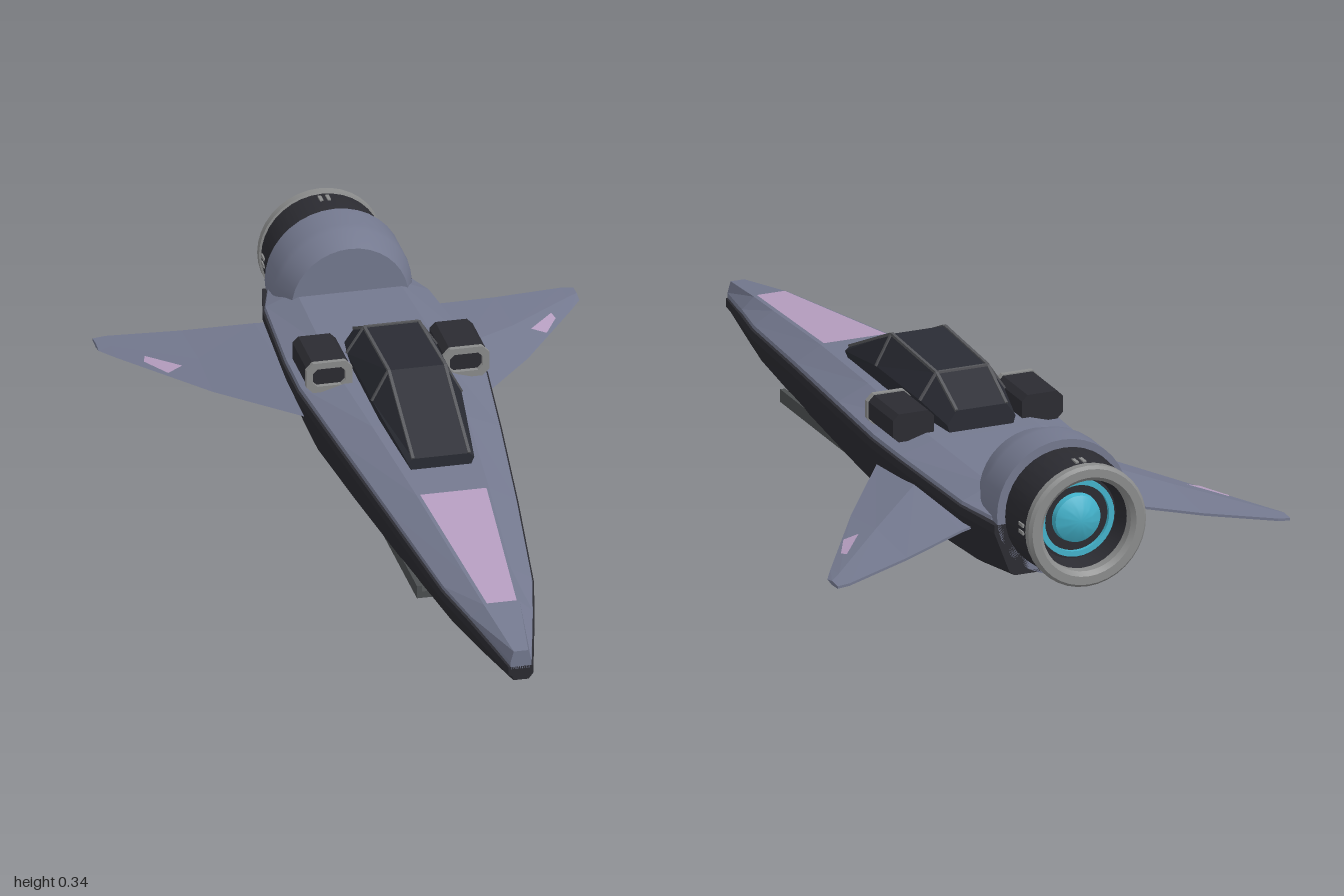
import * as THREE from 'three';
import { toCreasedNormals } from 'three/addons/utils/BufferGeometryUtils.js';

const mat = (name, color, extra = {}) => Object.assign(new THREE.MeshStandardMaterial({ color, ...extra }), { name });

// Skin closed rings of [x, y, z] points with flat faces and end caps
function loft(rings) {
  const p = [];
  const n = rings[0].length;
  for (let i = 0; i < rings.length - 1; i++) {
    for (let j = 0; j < n; j++) {
      const k = (j + 1) % n;
      const a = rings[i][j], b = rings[i][k], c = rings[i + 1][k], d = rings[i + 1][j];
      p.push(a, d, c, a, c, b);
    }
  }
  const first = rings[0], last = rings[rings.length - 1];
  for (let j = 1; j < n - 1; j++) {
    p.push(first[0], first[j], first[j + 1], last[0], last[j + 1], last[j]);
  }
  const g = new THREE.BufferGeometry();
  g.setAttribute('position', new THREE.Float32BufferAttribute(p.flat(), 3));
  g.computeVertexNormals();
  return g;
}

// Ring symmetric in x, from right-hand points listed bottom to top
const mirrorRing = (z, half) => [
  ...half.map(([x, y]) => [x, y, z]),
  ...half.slice().reverse().map(([x, y]) => [-x, y, z]),
];

// Single four-cornered face
function quad(a, b, c, d) {
  const g = new THREE.BufferGeometry();
  g.setAttribute('position', new THREE.Float32BufferAttribute([a, b, c, a, c, d].flat(), 3));
  g.computeVertexNormals();
  return g;
}

// Turned part whose axis runs aft along -z; profile is [radius, distance aft]
function turned(profile) {
  const g = new THREE.LatheGeometry(profile.map(([r, d]) => new THREE.Vector2(r, d)), 36);
  return toCreasedNormals(g.rotateX(-Math.PI / 2), 0.5);
}

// Rectangle with cut corners
function chamfered(Type, w, h, c) {
  return new Type([[-w, -h + c], [-w + c, -h], [w - c, -h], [w, -h + c], [w, h - c], [w - c, h], [-w + c, h], [-w, h - c]]
    .map(([x, y]) => new THREE.Vector2(x, y)));
}

export function createModel() {
  const model = new THREE.Group();
  model.name = 'spacecraft';
  const paint = mat('slate paint', 0x74798f);
  const dark = mat('dark hull', 0x2b2b31);
  const glass = mat('canopy glass', 0x2a2c34);
  const frameMat = mat('canopy frame', 0x55565a);
  const metal = mat('grey metal', 0x8b8c8c);
  const railMat = mat('rail metal', 0x4c4f50);
  const pink = mat('mauve panel', 0xb59dbf, { side: THREE.DoubleSide });
  const glow = mat('cyan glow', 0x43b3cc);

  const add = (name, geometry, material, parent = model) => {
    const mesh = new THREE.Mesh(geometry, material);
    mesh.name = name;
    parent.add(mesh);
    return mesh;
  };

  // Hull stations: z, half width, seam y, deck half width, deck y, belly y
  const stations = [
    [1.0, 0.025, 0.075, 0.017, 0.11, 0.037],
    [0.81, 0.073, 0.105, 0.042, 0.14, 0.03],
    [0.67, 0.105, 0.118, 0.055, 0.1546, 0.027],
    [0.33, 0.15, 0.148, 0.085, 0.19, 0.022],
    [0.0, 0.19, 0.17, 0.112, 0.211, 0.02],
    [-0.27, 0.22, 0.185, 0.13, 0.218, 0.02],
    [-0.42, 0.218, 0.184, 0.13, 0.217, 0.02],
    [-0.72, 0.195, 0.17, 0.12, 0.208, 0.022],
    [-0.82, 0.165, 0.162, 0.11, 0.19, 0.03],
  ];
  add('upperHull', loft(stations.map(([z, w, s, dw, dy]) =>
    mirrorRing(z, [[w * 0.9, s - 0.01], [w, s], [w * 0.985, s + 0.008], [dw, dy]]))), paint);
  add('lowerHull', loft(stations.map(([z, w, s, , , b]) =>
    mirrorRing(z - (z < -0.8 ? 0.03 : 0), [[w * 0.72, b], [w * 0.8, b + 0.01], [w + 0.004, s - 0.024], [w + 0.004, s - 0.004]]))), dark);
  add('nosePanel', quad([-0.035, 0.143, 0.81], [0.035, 0.143, 0.81], [0.078, 0.193, 0.33], [-0.078, 0.193, 0.33]), pink);

  // Canopy stations: z, then half-section points
  const canopy = [
    [0.21, [[0.07, 0.195], [0.078, 0.215], [0.066, 0.225]]],
    [-0.03, [[0.085, 0.2], [0.105, 0.262], [0.066, 0.335]]],
    [-0.28, [[0.085, 0.2], [0.105, 0.262], [0.064, 0.324]]],
    [-0.39, [[0.075, 0.2], [0.085, 0.235], [0.062, 0.268]]],
  ];
  add('canopy', loft(canopy.map(([z, half]) => mirrorRing(z, half))), glass);

  // Canopy frame bars along the ridges and across the bends
  const frame = new THREE.Group();
  frame.name = 'canopyFrame';
  model.add(frame);
  const bar = (a, b) => {
    const from = new THREE.Vector3(...a), to = new THREE.Vector3(...b);
    const m = add('frameBar', new THREE.BoxGeometry(0.007, 0.007, from.distanceTo(to)), frameMat, frame);
    m.position.copy(from).add(to).multiplyScalar(0.5);
    m.lookAt(to);
  };
  for (const s of [1, -1]) {
    canopy.forEach(([z, half], i) => {
      const at = ([x, y], zz) => [s * x, y, zz];
      if (i < 3) bar(at(half[2], z), at(canopy[i + 1][1][2], canopy[i + 1][0]));
      if (i === 1 || i === 2) bar(at(half[1], z), at(half[2], z));
    });
  }
  bar([-0.064, 0.324, -0.28], [0.064, 0.324, -0.28]);

  // Wing stations from tip to root: x, leading z, trailing z, mid y, half thickness
  const wing = [
    [0.565, -0.8, -0.86, 0.069, 0.005],
    [0.535, -0.75, -0.86, 0.072, 0.007],
    [0.37, -0.49, -0.808, 0.092, 0.016],
    [0.21, -0.27, -0.755, 0.118, 0.026],
    [0.14, -0.19, -0.735, 0.125, 0.028],
  ];
  const wingRings = wing.map(([x, l, t, y, h]) => {
    const ridge = l + (t - l) * 0.45;
    return [[x, y, l], [x, y - h, ridge], [x, y - 0.003, t], [x, y + 0.003, t], [x, y + h, ridge]];
  });
  // Point on the forward upper slope between the two middle wing stations
  const onWing = (x, u) => {
    const k = (x - 0.37) / (0.535 - 0.37);
    const mix = (i) => new THREE.Vector3(...wingRings[2][i]).lerp(new THREE.Vector3(...wingRings[1][i]), k);
    return mix(0).lerp(mix(4), u).add(new THREE.Vector3(0, 0.003, 0)).toArray();
  };
  const marking = [onWing(0.41, 0.6), onWing(0.445, 0.1), onWing(0.484, 0.3), onWing(0.478, 0.65)];
  const flip = (ring) => ring.map(([x, y, z]) => [-x, y, z]).reverse();

  for (const [side, s] of [['left', 1], ['right', -1]]) {
    add(side + 'Wing', loft(s > 0 ? wingRings : wingRings.map(flip)), paint);
    add(side + 'WingMarking', quad(...(s > 0 ? marking : flip(marking))), pink);

    // Intake pod with a grey rim at its mouth
    const pod = new THREE.Group();
    pod.name = side + 'Pod';
    pod.position.set(s * 0.161, 0.238, 0);
    model.add(pod);
    const body = new THREE.ExtrudeGeometry(chamfered(THREE.Shape, 0.051, 0.034, 0.014), { depth: 0.14, bevelEnabled: false });
    add('podBody', body.translate(0, 0, -0.37), dark, pod);
    const rimShape = chamfered(THREE.Shape, 0.054, 0.037, 0.016);
    rimShape.holes.push(chamfered(THREE.Path, 0.038, 0.022, 0.01));
    const rim = new THREE.ExtrudeGeometry(rimShape, { depth: 0.012, bevelEnabled: false });
    add('podRim', rim.translate(0, 0, -0.23), metal, pod);

    // Belly skid with a raised lip on its outer side
    const skid = add(side + 'Skid', new THREE.BoxGeometry(0.046, 0.016, 1.16), railMat);
    skid.position.set(s * 0.098, 0.014, -0.1);
    const lip = add(side + 'SkidLip', new THREE.BoxGeometry(0.012, 0.03, 1.16), railMat);
    lip.position.set(s * 0.115, 0.022, -0.1);
  }

  // Engine, turned about its own axis
  const engine = new THREE.Group();
  engine.name = 'engine';
  engine.position.y = 0.18;
  model.add(engine);
  add('engineHousing', turned([[0, 0.69], [0.138, 0.69], [0.16, 0.75], [0.163, 0.77], [0.163, 0.85], [0.14, 0.85]]), paint, engine);
  add('nozzle', turned([[0.14, 0.845], [0.147, 0.86], [0.142, 0.975], [0.112, 0.975], [0.1, 0.925], [0, 0.925]]), dark, engine);
  add('nozzleRim', turned([[0.136, 0.97], [0.147, 0.974], [0.147, 0.992], [0.14, 1.0], [0.12, 1.0], [0.11, 0.99], [0.11, 0.965]]), metal, engine);
  add('glowRing', turned([[0.093, 0.92], [0.093, 0.935], [0.08, 0.935], [0.08, 0.92]]), glow, engine);
  add('glowCore', turned([[0.06, 0.92], [0.056, 0.94], [0.03, 0.955], [0, 0.96]]), glow, engine);

  // Small vents around the nozzle
  for (let i = 0; i < 4; i++) {
    const holder = new THREE.Group();
    holder.name = 'nozzleVent';
    holder.rotation.z = i * Math.PI / 2;
    engine.add(holder);
    for (const y of [-0.009, 0.009]) {
      add('ventSlat', new THREE.BoxGeometry(0.006, 0.008, 0.025), metal, holder).position.set(0.143, y, -0.945);
    }
  }
  return model;
}
